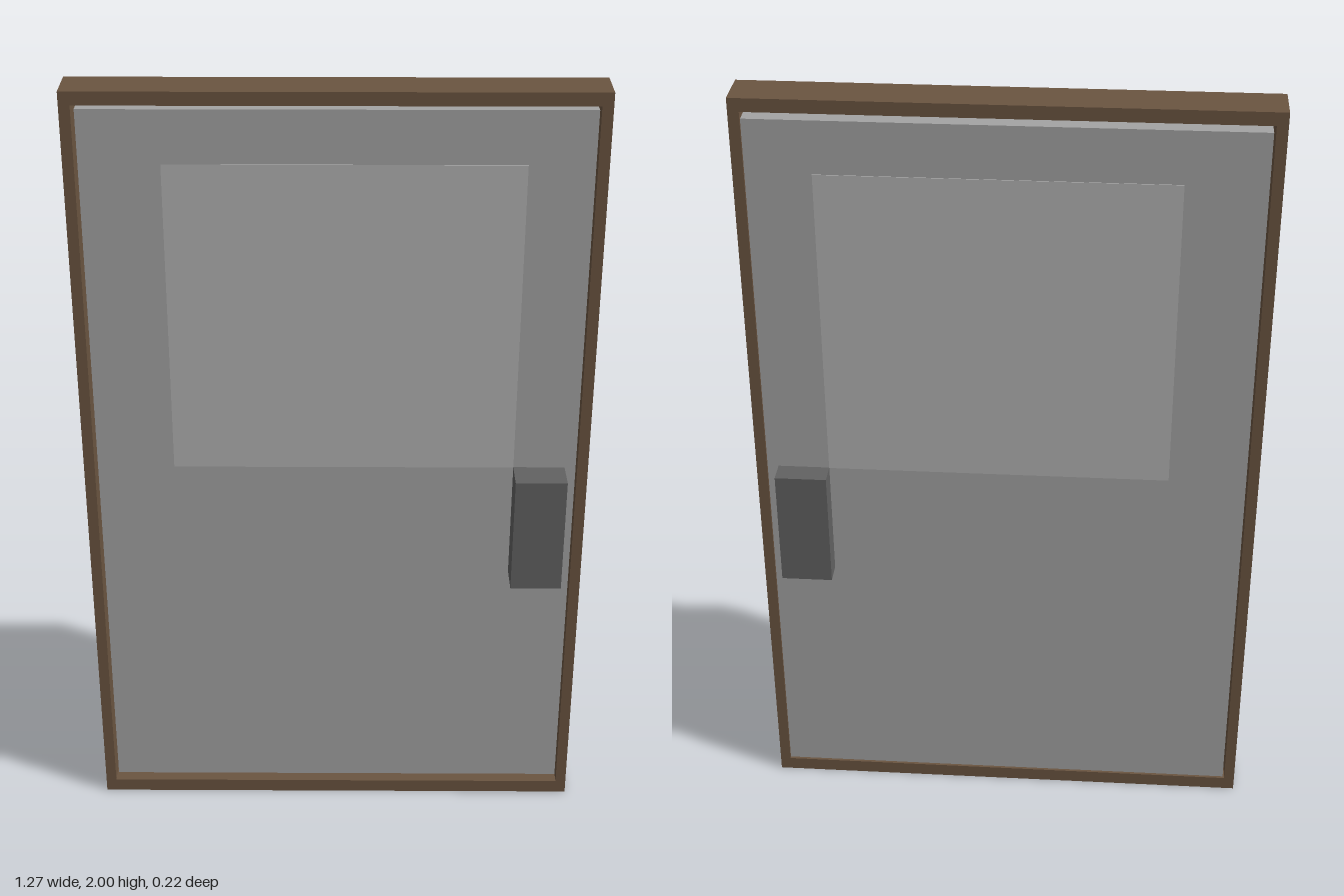
import * as THREE from 'three';

// Box given by its min and max on each axis
function block(name, [x0, x1], [y0, y1], [z0, z1], material) {
  const mesh = new THREE.Mesh(new THREE.BoxGeometry(x1 - x0, y1 - y0, z1 - z0), material);
  mesh.position.set((x0 + x1) / 2, (y0 + y1) / 2, (z0 + z1) / 2);
  mesh.name = name;
  return mesh;
}

export function createModel() {
  const door = new THREE.Group();
  door.name = 'door';
  const paint = (color) => new THREE.MeshStandardMaterial({ color });
  const wood = paint(0x6b5541);
  const W = 0.635, IN = 0.608; // outer and inner half widths of the frame
  const depth = [-0.057, 0.055];

  // Wooden frame: two jambs between a header and a sill
  const frame = new THREE.Group();
  frame.name = 'frame';
  frame.add(
    block('header', [-W, W], [1.967, 2], depth, wood),
    block('sill', [-W, W], [0, 0.036], depth, wood),
    block('leftJamb', [IN, W], [0.036, 1.967], depth, wood),
    block('rightJamb', [-W, -IN], [0.036, 1.967], depth, wood)
  );

  // Leaf set back from the front, with a small gap under the header
  const leaf = block('leaf', [-0.604, IN], [0.036, 1.948], [-0.05, 0.023], paint(0xa4a4a4));

  // Window pane showing on both faces of the leaf
  const pane = block('windowPane', [-0.41, 0.45], [1.01, 1.815], [-0.052, 0.025], paint(0xb4b4b4));

  // Handle block running through the leaf
  const handle = block('handle', [0.45, 0.58], [0.7, 1.01], [-0.109, 0.107], paint(0x626262));

  door.add(frame, leaf, pane, handle);
  return door;
}
